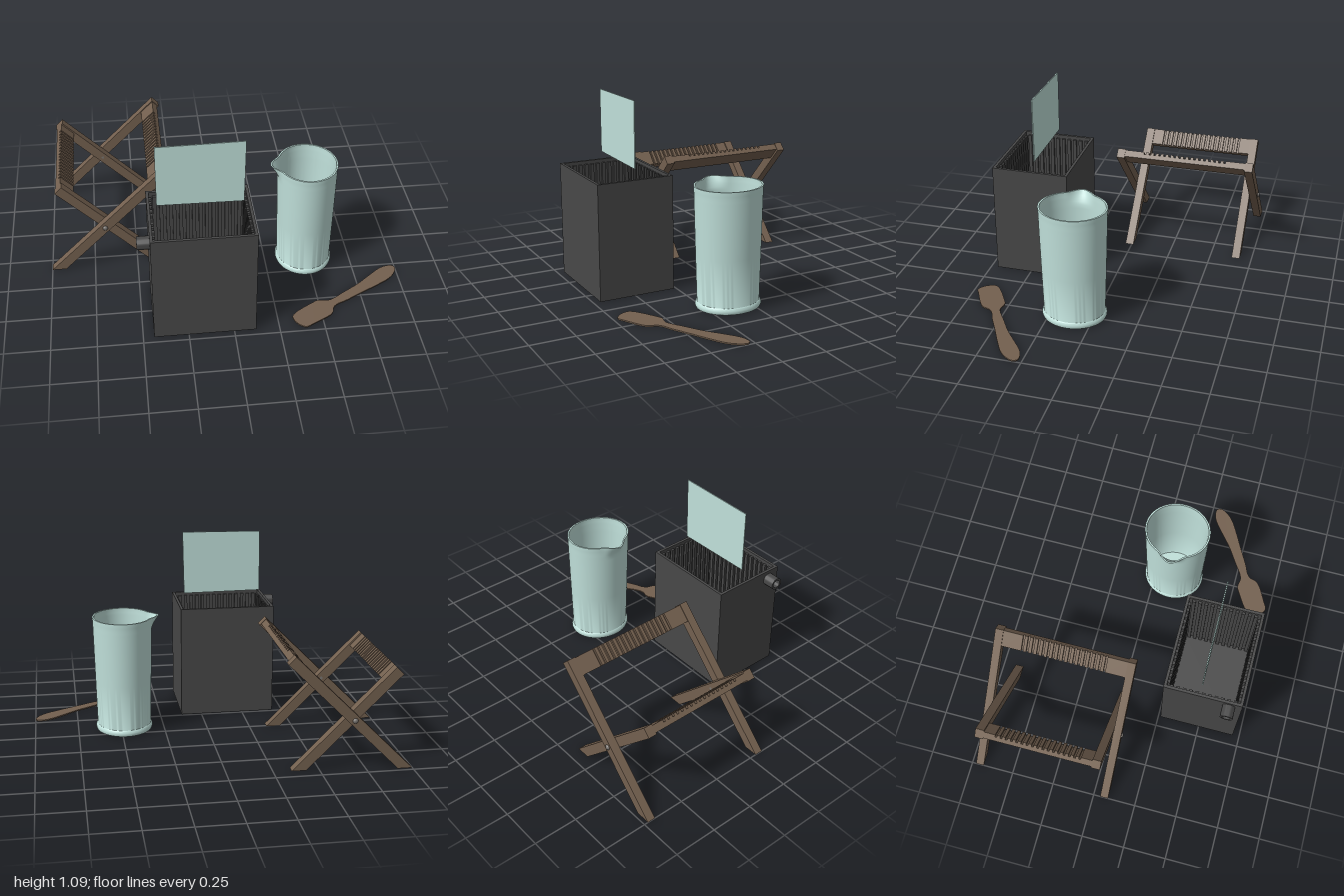
import * as THREE from 'three';
import { toCreasedNormals } from 'three/addons/utils/BufferGeometryUtils.js';

const wood = new THREE.MeshStandardMaterial({ color: 0x73604f });
const darkPlastic = new THREE.MeshStandardMaterial({ color: 0x484848 });
const glass = new THREE.MeshStandardMaterial({ color: 0xc0e0da });
const metal = new THREE.MeshStandardMaterial({ color: 0x7a7672 });

function add(parent, name, geometry, material, x = 0, y = 0, z = 0) {
  const mesh = new THREE.Mesh(geometry, material);
  mesh.name = name;
  mesh.position.set(x, y, z);
  parent.add(mesh);
  return mesh;
}

const box = (w, h, d) => new THREE.BoxGeometry(w, h, d);

function extrude(shape, depth, curveSegments = 12) {
  return new THREE.ExtrudeGeometry(shape, { depth, bevelEnabled: false, curveSegments });
}

function polygon(points) {
  return new THREE.Shape(points.map(([x, y]) => new THREE.Vector2(x, y)));
}

// One leaning frame: two legs at 45 degrees and a grooved rail at the top.
// s is the lean direction in x, legZ the inner face of the legs.
function rackFrame(name, footX, s, topY, legZ, legT, railX, railY, railHalf) {
  const frame = new THREE.Group();
  frame.name = name;
  const topX = footX + s * topY;
  const leg = polygon([
    [footX - s * 0.04, 0], [footX + s * 0.04, 0],
    [topX + s * 0.02, topY - 0.02], [topX - s * 0.02, topY + 0.02],
  ]);
  for (const z of [legZ, -legZ - legT]) add(frame, 'leg', extrude(leg, legT), wood, 0, 0, z);

  const rail = new THREE.Group();
  rail.name = 'groovedRail';
  rail.position.set(railX, railY, 0);
  rail.rotation.z = -s * Math.PI / 4;
  frame.add(rail);
  add(rail, 'railBoard', box(0.026, 0.1, railHalf * 2), wood, s * 0.007);
  const faceX = -s * 0.013;
  const endLength = railHalf - 0.245;
  for (const side of [-1, 1]) {
    add(rail, 'railEnd', box(0.014, 0.1, endLength), wood, faceX, 0, side * (railHalf - endLength / 2));
  }
  for (let i = 0; i < 16; i++) {
    add(rail, 'railTooth', box(0.014, 0.1, 0.018), wood, faceX, 0, (i - 7.5) * 0.03);
  }
  return frame;
}

function createRack() {
  const rack = new THREE.Group();
  rack.name = 'foldingRack';
  rack.position.z = -0.32;
  rack.add(rackFrame('outerFrame', -0.96, 1, 0.63, 0.36, 0.047, -0.37, 0.595, 0.36));
  rack.add(rackFrame('innerFrame', -0.39, -1, 0.535, 0.31, 0.049, -0.89, 0.5, 0.31));
  // pivot bolts with domed heads
  for (const side of [-1, 1]) {
    const shank = add(rack, 'pivotBolt', new THREE.CylinderGeometry(0.009, 0.009, 0.1, 16), metal, -0.675, 0.285, side * 0.36);
    shank.rotation.x = Math.PI / 2;
    const head = add(rack, 'pivotBoltHead', new THREE.SphereGeometry(0.015, 16, 10), metal, -0.675, 0.285, side * 0.406);
    head.scale.z = 0.8;
  }
  return rack;
}

function createTank() {
  const tank = new THREE.Group();
  tank.name = 'tank';
  tank.position.set(-0.16, 0, 0.487);
  const W = 0.28, D = 0.223, H = 0.66, wall = 0.016;
  const w = W - wall, d = D - wall;
  const outline = polygon([[-W, -D], [W, -D], [W, D], [-W, D]]);
  outline.holes.push(polygon([[-w, -d], [-w, d], [w, d], [w, -d]]));
  add(tank, 'tankWalls', extrude(outline, H), darkPlastic).rotation.x = -Math.PI / 2;
  add(tank, 'tankFloor', box(w * 2, 0.02, d * 2), darkPlastic, 0, 0.01, 0);

  // upright ribs that form slots along the four inner walls
  const ribH = 0.62, ribY = 0.02 + ribH / 2;
  for (const side of [-1, 1]) {
    for (let i = 0; i < 14; i++) {
      add(tank, 'slotRib', box(0.02, ribH, 0.014), darkPlastic, (i - 6.5) * 0.036, ribY, side * (d - 0.007));
    }
    for (let i = 0; i < 11; i++) {
      add(tank, 'slotRib', box(0.014, ribH, 0.02), darkPlastic, side * (w - 0.007), ribY, (i - 5) * 0.036);
    }
  }

  // hollow side port
  const ring = new THREE.Shape().absarc(0, 0, 0.036, 0, Math.PI * 2);
  ring.holes.push(new THREE.Path().absarc(0, 0, 0.024, 0, Math.PI * 2, true));
  const port = add(tank, 'sidePort', toCreasedNormals(extrude(ring, 0.074, 16), 0.6), darkPlastic, -0.274, 0.605, 0.15);
  port.rotation.y = -Math.PI / 2;
  return tank;
}

function createJug() {
  // outer wall from the foot up, over the rim and back down inside
  const profile = [
    [0, 0], [0.17, 0], [0.179, 0.004], [0.183, 0.014], [0.182, 0.025], [0.177, 0.034],
    [0.173, 0.038], [0.18, 0.3], [0.187, 0.58], [0.1875, 0.605], [0.188, 0.62], [0.188, 0.635],
    [0.189, 0.65], [0.19, 0.665], [0.19, 0.676], [0.18, 0.676],
    [0.18, 0.665], [0.179, 0.65], [0.178, 0.635], [0.178, 0.62], [0.177, 0.605], [0.177, 0.58],
    [0.17, 0.3], [0.163, 0.045], [0.155, 0.03], [0, 0.03],
  ].map(([r, y]) => new THREE.Vector2(r, y));
  const geometry = new THREE.LatheGeometry(profile, 96);
  geometry.scale(0.9, 1, 1);
  // pull the rim out to a spout on the -x side
  const pos = geometry.attributes.position;
  for (let i = 0; i < pos.count; i++) {
    const angle = Math.abs(Math.atan2(pos.getZ(i), -pos.getX(i)));
    const lift = THREE.MathUtils.clamp((pos.getY(i) - 0.605) / 0.07, 0, 1);
    if (angle < 0.5) {
      const pull = 0.04 * lift ** 1.3 * Math.cos(angle * Math.PI) ** 1.5;
      pos.setX(i, pos.getX(i) - pull);
    }
  }
  const jug = new THREE.Group();
  jug.name = 'jug';
  add(jug, 'jugBody', toCreasedNormals(geometry, 0.7), glass, 0.48, 0, 0.115);
  return jug;
}

function createSpatula() {
  // outline as x, z pairs: blade, neck, handle, and back
  const outline = [
    [0.337, 0.63], [0.337, 0.665], [0.362, 0.707], [0.398, 0.728], [0.44, 0.708], [0.545, 0.65],
    [0.566, 0.625], [0.578, 0.588], [0.605, 0.564], [0.65, 0.545], [0.755, 0.488], [0.86, 0.433],
    [0.94, 0.385], [0.982, 0.34], [1, 0.295], [0.986, 0.274], [0.955, 0.272], [0.91, 0.288],
    [0.81, 0.365], [0.75, 0.413], [0.65, 0.477], [0.59, 0.517], [0.555, 0.53], [0.5, 0.523], [0.465, 0.54],
  ].map(([x, z]) => new THREE.Vector3(x, -z, 0));
  const curve = new THREE.CatmullRomCurve3(outline, true);
  const shape = new THREE.Shape(curve.getPoints(100).slice(0, -1).map((p) => new THREE.Vector2(p.x, p.y)));
  const geometry = extrude(shape, 0.008);
  geometry.rotateX(-Math.PI / 2);
  const spatula = new THREE.Group();
  spatula.name = 'spatula';
  add(spatula, 'bladeAndHandle', toCreasedNormals(geometry, 0.6), wood);
  return spatula;
}

export function createModel() {
  const model = new THREE.Group();
  model.name = 'platingSet';
  model.add(createRack(), createTank(), createJug(), createSpatula());
  // thin, slightly uneven pane above the tank
  const pane = polygon([[-0.39, 0.715], [0.075, 0.71], [0.082, 1.087], [-0.39, 1.081]]);
  add(model, 'glassPlate', extrude(pane, 0.006), glass, 0, 0, 0.467);
  return model;
}
